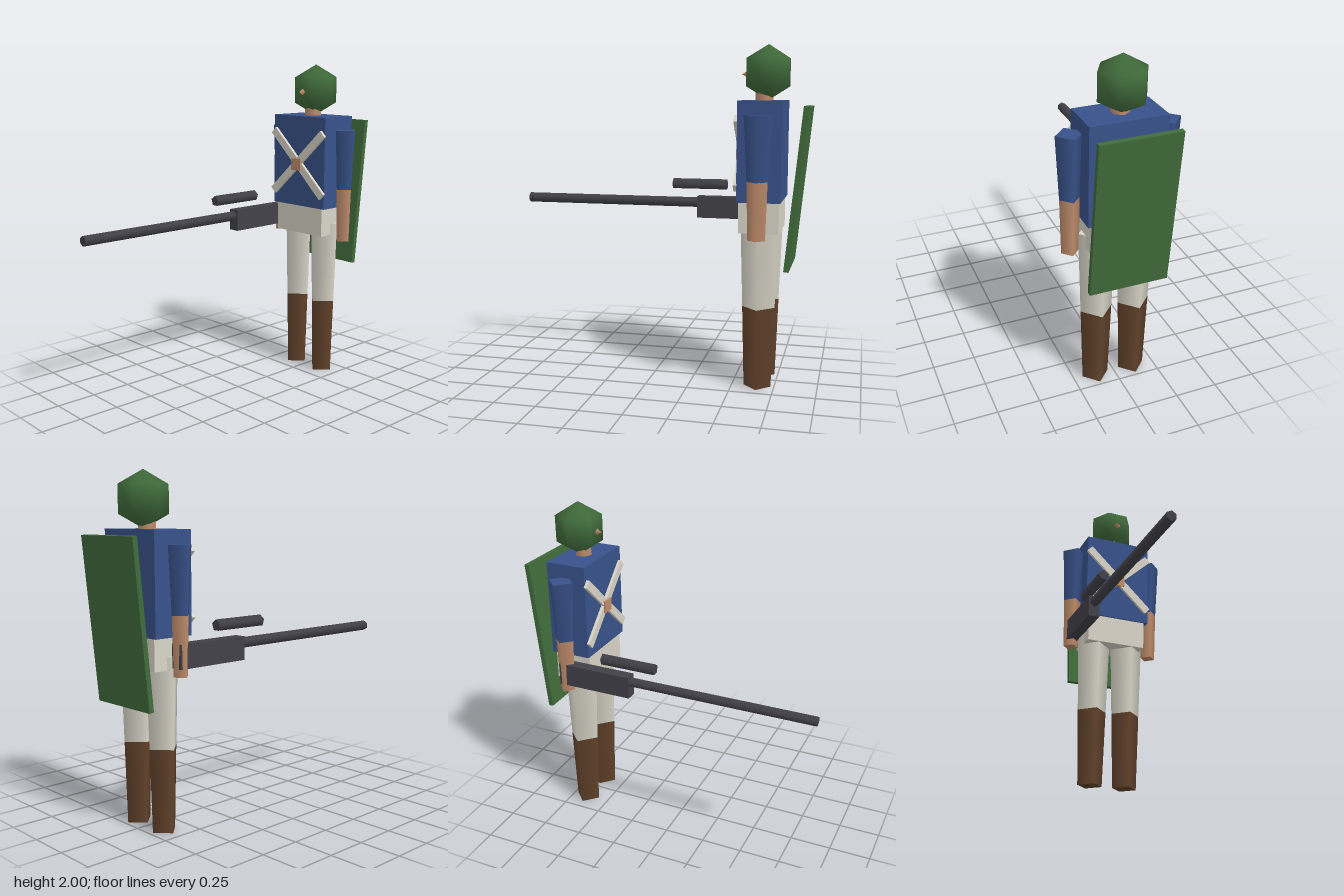
import * as THREE from 'three';

const mat = (name, color) => {
  const m = new THREE.MeshStandardMaterial({ color });
  m.name = name;
  return m;
};

export function createModel() {
  const blue = mat('coat blue', 0x38528a);
  const cream = mat('cream cloth', 0xd9d5c8);
  const brown = mat('boot brown', 0x62422b);
  const skin = mat('skin', 0xc08d6c);
  const green = mat('green', 0x406b3b);
  const metal = mat('gunmetal', 0x424148);

  const model = new THREE.Group();
  model.name = 'soldier';
  const bodyZ = -0.65;

  const add = (name, geometry, material, x, y, z) => {
    const mesh = new THREE.Mesh(geometry, material);
    mesh.name = name;
    mesh.position.set(x, y, z);
    model.add(mesh);
    return mesh;
  };
  const box = (name, material, w, h, d, x, y, z) =>
    add(name, new THREE.BoxGeometry(w, h, d), material, x, y, z);
  // Upright tapered limb with four sides, corners facing the axes
  const limb = (name, material, rTop, rBottom, y0, y1, x) =>
    add(name, new THREE.CylinderGeometry(rTop, rBottom, y1 - y0, 4), material, x, (y0 + y1) / 2, bodyZ);
  // Bar lying along z
  const bar = (name, material, r, sides, z0, z1, x, y) => {
    const geometry = new THREE.CylinderGeometry(r, r, z1 - z0, sides);
    geometry.rotateX(-Math.PI / 2);
    return add(name, geometry, material, x, y, (z0 + z1) / 2);
  };

  // Head and neck
  add('head', new THREE.SphereGeometry(0.16, 6, 3), green, 0, 1.84, -0.672);
  add('neck', new THREE.CylinderGeometry(0.052, 0.052, 0.14, 6), skin, 0, 1.71, bodyZ);
  const nose = new THREE.ConeGeometry(0.036, 0.06, 4);
  nose.rotateX(Math.PI / 2);
  add('nose', nose, skin, 0, 1.83, -0.548);

  // Trunk
  box('torso', blue, 0.44, 0.575, 0.25, 0, 1.3925, bodyZ);
  box('hips', cream, 0.39, 0.18, 0.23, 0, 1.015, bodyZ);

  // Limbs
  for (const [side, s] of [['left', 1], ['right', -1]]) {
    limb(`${side}Trouser`, cream, 0.112, 0.095, 0.48, 1.0, s * 0.115);
    limb(`${side}Boot`, brown, 0.095, 0.08, 0, 0.48, s * 0.115);
    limb(`${side}Sleeve`, blue, 0.08, 0.059, 1.23, 1.6, s * 0.275);
    limb(`${side}Forearm`, skin, 0.059, 0.05, 0.9, 1.23, s * 0.275);
    // Crossed chest straps
    box(`${side}Strap`, cream, 0.58, 0.05, 0.02, 0, 1.383, -0.516).rotation.z = s * 0.75;
  }
  box('buckle', skin, 0.078, 0.075, 0.024, 0, 1.373, -0.508);

  // Long gun held in the right hand
  box('receiver', metal, 0.07, 0.135, 0.47, -0.275, 1.01, -0.445);
  bar('barrel', metal, 0.031, 6, -0.23, 0.925, -0.275, 1.037);
  bar('scope', metal, 0.034, 5, -0.395, -0.05, -0.275, 1.152);

  // Leaning back panel
  box('backPanel', green, 0.46, 0.935, 0.03, 0, 1.183, -0.862).rotation.x = -0.1;

  return model;
}
